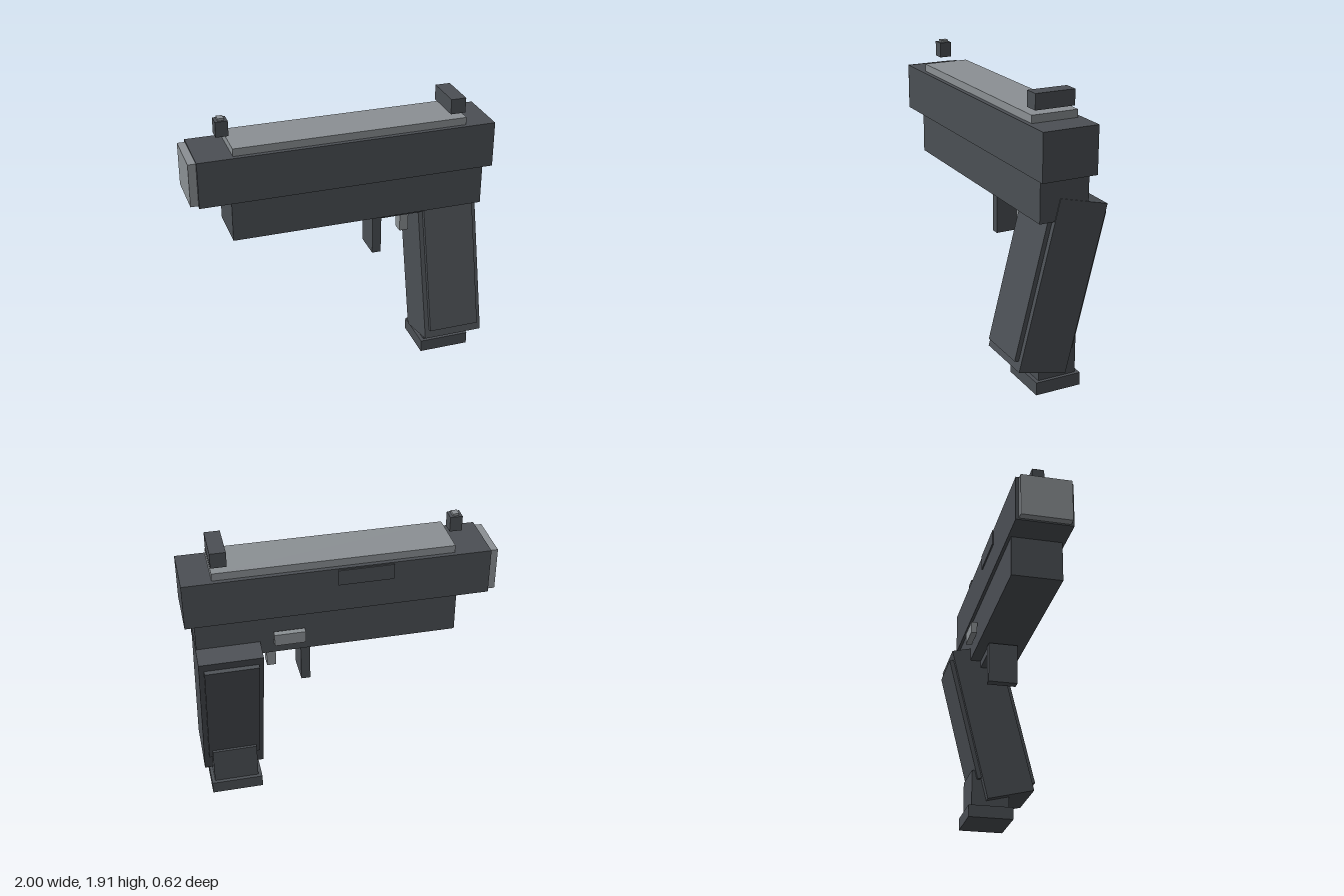
import * as THREE from 'three';

export function createModel() {
  const model = new THREE.Group();
  const dark = new THREE.MeshStandardMaterial({ color: 0x4b4f54 });
  dark.name = 'dark grey';
  const light = new THREE.MeshStandardMaterial({ color: 0x8b9094 });
  light.name = 'light grey';

  // Box given by its [min, max] extent along each axis
  function box(name, material, [x0, x1], [y0, y1], [z0, z1], parent = model) {
    const mesh = new THREE.Mesh(new THREE.BoxGeometry(x1 - x0, y1 - y0, z1 - z0), material);
    mesh.position.set((x0 + x1) / 2, (y0 + y1) / 2, (z0 + z1) / 2);
    mesh.name = name;
    parent.add(mesh);
    return mesh;
  }

  // Upper body
  box('slide', dark, [-0.95, 1], [1.41, 1.715], [-0.185, 0.185]);
  box('topPlate', light, [-0.72, 0.81], [1.715, 1.765], [-0.155, 0.155]);
  box('muzzle', light, [-1, -0.95], [1.42, 1.705], [-0.165, 0.165]);
  box('sidePort', dark, [-0.32, 0.035], [1.6, 1.705], [-0.194, -0.185]);
  box('frame', dark, [-0.745, 0.94], [1.14, 1.41], [-0.165, 0.165]);
  box('sideLever', light, [0.25, 0.45], [1.22, 1.3], [-0.216, -0.175]);

  // Sights, standing clear of the top plate
  box('rearSight', dark, [0.71, 0.81], [1.79, 1.89], [-0.133, 0.133]);
  box('frontSight', dark, [-0.795, -0.715], [1.8, 1.9], [-0.04, 0.04]);
  box('frontSightDot', light, [-0.775, -0.735], [1.89, 1.915], [-0.025, 0.025]);

  // Trigger and its guard
  box('guardPost', dark, [0.205, 0.265], [0.845, 1.13], [-0.1, 0.1]);
  box('guardBar', dark, [0.225, 0.68], [1.09, 1.145], [-0.09, 0.09]);
  box('trigger', light, [0.42, 0.48], [0.945, 1.12], [-0.04, 0.04]);

  // Leaning grip with a panel on both faces, each shifted along the lean
  const grip = new THREE.Group();
  grip.name = 'grip';
  grip.position.set(0, 0.7025, 0);
  grip.rotation.x = -0.243;
  model.add(grip);
  box('gripCore', dark, [0.535, 0.945], [-0.553, 0.553], [-0.167, 0.167], grip);
  for (const side of [1, -1]) {
    const panel = box('gripPanel', dark, [0.565, 0.912], [-0.445, 0.445], [-0.02, 0.02], grip);
    panel.position.y = -0.049 * side;
    panel.position.z = 0.176 * side;
  }

  // Magazine showing below the grip
  box('magazine', dark, [0.59, 0.89], [0.08, 0.34], [-0.13, 0.13]);
  box('magazineBase', dark, [0.565, 0.912], [0, 0.085], [-0.155, 0.155]);

  return model;
}
